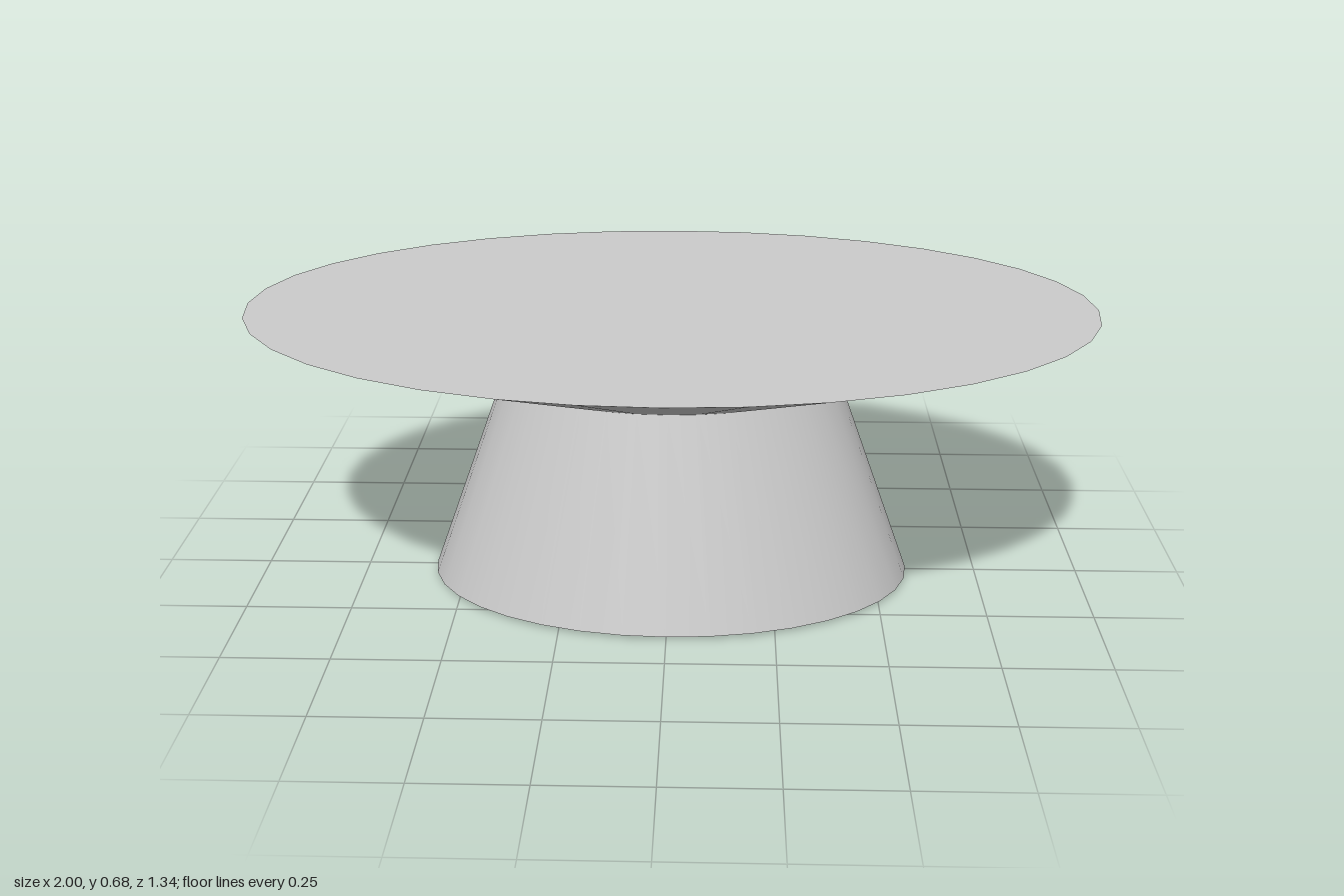
import * as THREE from 'three';
import { mergeGeometries } from 'three/addons/utils/BufferGeometryUtils.js';

const SIDES = 36;
const DEPTH_RATIO = 0.67;

// Turns a profile of [radius, y] points into an oval solid with sharp edges at each point.
function ovalSolid(name, profile, material) {
  const bands = [];
  for (let i = 0; i < profile.length - 1; i++) {
    const ends = [profile[i], profile[i + 1]].map(([r, y]) => new THREE.Vector2(r, y));
    bands.push(new THREE.LatheGeometry(ends, SIDES));
  }
  const geometry = mergeGeometries(bands);
  geometry.scale(1, 1, DEPTH_RATIO);
  const mesh = new THREE.Mesh(geometry, material);
  mesh.name = name;
  return mesh;
}

export function createModel() {
  const group = new THREE.Group();
  group.name = 'ovalPedestalTable';
  const material = new THREE.MeshStandardMaterial({ color: 0xcccccc });

  // Tapered pedestal with a small chamfer at the floor
  group.add(ovalSolid('pedestal', [[0, 0], [0.56, 0], [0.58, 0.007], [0.4, 0.505]], material));

  // Flat top with a flared underside and a knife edge
  group.add(ovalSolid('tableTop', [[0.4, 0.505], [1, 0.675], [0, 0.675]], material));

  return group;
}
